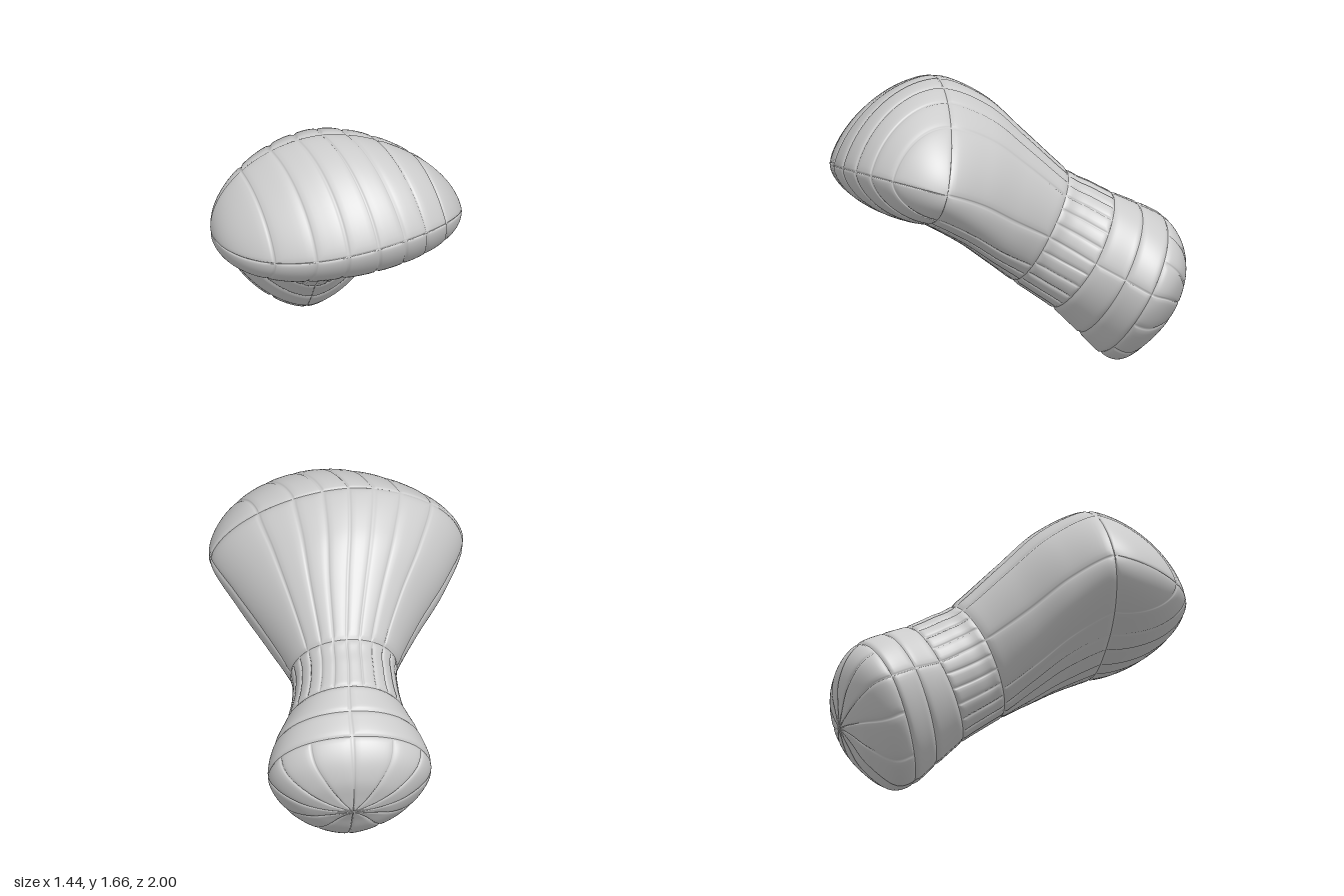
import * as THREE from 'three';

// Cross-sections from front to back, each a ring through a top, side and bottom point:
// [topZ, topY, bottomZ, bottomY, sideZ, sideY, centreX, halfWidth, crestShift, topPower, bottomPower]
const STATIONS = [
  [0.62, 1.60, 0.74, 0.95, 0.68, 1.18, 0, 0.66, -0.06, 1.8, 2.2],
  [0.38, 1.655, 0.55, 0.878, 0.50, 1.16, 0, 0.718, -0.06, 1.8, 2.2],
  [0.12, 1.54, 0.33, 0.75, 0.27, 1.06, 0, 0.60, -0.04, 1.85, 2.4],
  [-0.10, 1.335, 0.15, 0.615, 0.05, 0.92, 0.015, 0.44, -0.02, 2, 2.4],
  [-0.34, 1.105, -0.02, 0.48, -0.17, 0.79, 0.025, 0.31, 0, 2, 2],
  [-0.47, 1.03, -0.13, 0.40, -0.30, 0.71, 0.03, 0.30, 0, 2, 1.9],
  [-0.60, 0.96, -0.25, 0.31, -0.43, 0.63, 0.04, 0.335, 0, 2, 1.75],
  [-0.75, 0.89, -0.40, 0.16, -0.58, 0.55, 0.05, 0.415, 0, 2.1, 1.65],
  [-0.89, 0.81, -0.52, 0.04, -0.72, 0.47, 0.05, 0.463, 0, 2.1, 1.65],
  [-0.97, 0.70, -0.64, 0.003, -0.82, 0.43, 0.05, 0.425, 0, 2.1, 1.65],
  [-1.00, 0.57, -0.80, 0.125, -0.90, 0.38, 0.05, 0.30, 0, 2, 1.75],
  [-0.98, 0.44, -0.89, 0.25, -0.94, 0.35, 0.05, 0.15, 0, 2, 1.9],
  [-0.955, 0.34, -0.955, 0.34, -0.955, 0.34, 0.05, 0, 0, 2, 2],
];
const HEAD = 1, NECK = 4, CUFF_END = 6, BAND = 7, CAP = 8, POLE = 12;
const GROOVE = 0.011;
const rad = THREE.MathUtils.degToRad;

// Smooth blend between the stations
function station(t) {
  const last = STATIONS.length - 1;
  const i = Math.min(Math.floor(t), last - 1), f = t - i;
  const at = (k) => STATIONS[THREE.MathUtils.clamp(k, 0, last)];
  return at(i).map((b, j) => {
    const a = at(i - 1)[j], c = at(i + 1)[j], d = at(i + 2)[j];
    return b + 0.5 * f * (c - a + f * (2 * a - 5 * b + 4 * c - d + f * (3 * (b - c) + d - a)));
  });
}

const centre = (t) => {
  const s = station(t);
  return new THREE.Vector3(s[6], s[5], s[4]);
};

// Point on the ring at station t; angle runs from the top towards +x
function ring(angle, t) {
  const [tz, ty, bz, by, sz, sy, cx, w, crest, pTop, pBottom] = station(t);
  const c = Math.cos(angle), s = Math.sin(angle);
  const p = c >= 0 ? pTop : pBottom;
  const k = Math.pow(Math.abs(c), 2 / p);
  const x = Math.sign(s) * Math.pow(Math.abs(s), 2 / p) * w;
  const [ez, ey] = c >= 0 ? [tz, ty] : [bz, by];
  return new THREE.Vector3(cx + x + (c > 0 ? crest * k : 0), sy + (ey - sy) * k, sz + (ez - sz) * k);
}

// The head seams slant sideways between the crest and the front seam
const slant = (angle) => angle + 0.22 * Math.cos(angle);

// Front of the head: arcs from the crest, over the front seam, to the underside
function headFront(angle, phi) {
  const upper = phi < Math.PI / 2;
  const width = STATIONS[HEAD][7], low = slant(angle), c = Math.max(0, Math.cos(low));
  const base = centre(HEAD);
  const front = base.clone().add(new THREE.Vector3(
    width * Math.sin(low), (0.03 + 0.1 * Math.sin(low)) * c, 0.5 * c));
  base.x += width * Math.sin(upper ? angle : low);
  const edge = upper ? ring(angle, HEAD) : ring(Math.PI - low, HEAD);
  const fall = Math.pow(Math.abs(Math.cos(phi)), upper ? 1.08 : 1.3);
  return base.clone()
    .addScaledVector(edge.sub(base), fall)
    .addScaledVector(front.sub(base), Math.sin(phi));
}

// Samples between seams, with close pairs beside each seam to shape the groove
function samples(seams, eps, step) {
  const out = [];
  for (let i = 0; i < seams.length - 1; i++) {
    const a = seams[i], len = seams[i + 1] - a, e = Math.sign(len) * Math.min(eps, Math.abs(len) * 0.15);
    const n = Math.max(3, Math.ceil(Math.abs(len) / step));
    out.push([a, 1], [a + e * 0.5, 0.6], [a + e, 0.15]);
    for (let k = 1; k < n; k++) out.push([a + e + ((len - 2 * e) * k) / n, 0]);
    out.push([a + len - e, 0.15], [a + len - e * 0.5, 0.6]);
  }
  out.push([seams[seams.length - 1], 1]);
  return out;
}

// Quilted patch: a surface with grooves pressed in along its seams
function quilt(name, surface, middle, us, vs, closed, material) {
  const cols = closed ? us.length - 1 : us.length;
  const position = [], index = [];
  for (const [v, dv] of vs) {
    for (let i = 0; i < cols; i++) {
      const [u, du] = us[i];
      const p = surface(u, v), m = middle(v);
      const r = p.distanceTo(m);
      if (r > 1e-5) p.lerp(m, Math.min(0.2, (GROOVE * Math.max(du, dv)) / r));
      position.push(p.x, p.y, p.z);
    }
  }
  for (let j = 0; j < vs.length - 1; j++) {
    for (let i = 0; i < us.length - 1; i++) {
      const n = (i + 1) % cols;
      const a = j * cols + i, b = j * cols + n, c = a + cols, d = b + cols;
      index.push(a, b, d, a, d, c);
    }
  }
  const geometry = new THREE.BufferGeometry();
  geometry.setAttribute('position', new THREE.Float32BufferAttribute(position, 3));
  geometry.setIndex(index);
  geometry.computeVertexNormals();
  const mesh = new THREE.Mesh(geometry, material);
  mesh.name = name;
  return mesh;
}

const evenly = (n) => Array.from({ length: n + 1 }, (_, i) => rad((360 * i) / n));

export function createModel() {
  const group = new THREE.Group();
  group.name = 'quiltedBody';
  const material = new THREE.MeshStandardMaterial({ color: 0xcccccc, side: THREE.DoubleSide });

  // Padded head, with seams running over the front and one across it
  const fan = [90, 46, 28, 14, 0, -14, -28, -46, -90].map(rad);
  const headCentre = centre(HEAD);
  group.add(quilt('headFront', headFront, () => headCentre,
    samples(fan, 0.024, 0.06), samples([0, Math.PI / 2, Math.PI], 0.035, 0.08), false, material));

  // Bands behind the head: [name, first station, last station, seam angles]
  const taper = [...[...fan].reverse(), ...fan.slice(1).map((a) => Math.PI - slant(a))];
  const bands = [
    ['taper', HEAD, NECK, taper],
    ['cuff', NECK, CUFF_END, evenly(24)],
    ['innerBand', CUFF_END, BAND, evenly(4)],
    ['outerBand', BAND, CAP, evenly(4)],
  ];
  for (const [name, from, to, seams] of bands) {
    group.add(quilt(name, ring, centre, samples(seams, 0.035, 0.07),
      samples([from, to], 0.1, 0.1), true, material));
  }

  // Domed end cap with radial seams
  const capCentre = centre(CAP);
  group.add(quilt('endCap', ring, () => capCentre, samples(evenly(12), 0.035, 0.07),
    samples([CAP, POLE], 0.12, 0.16), true, material));
  return group;
}
